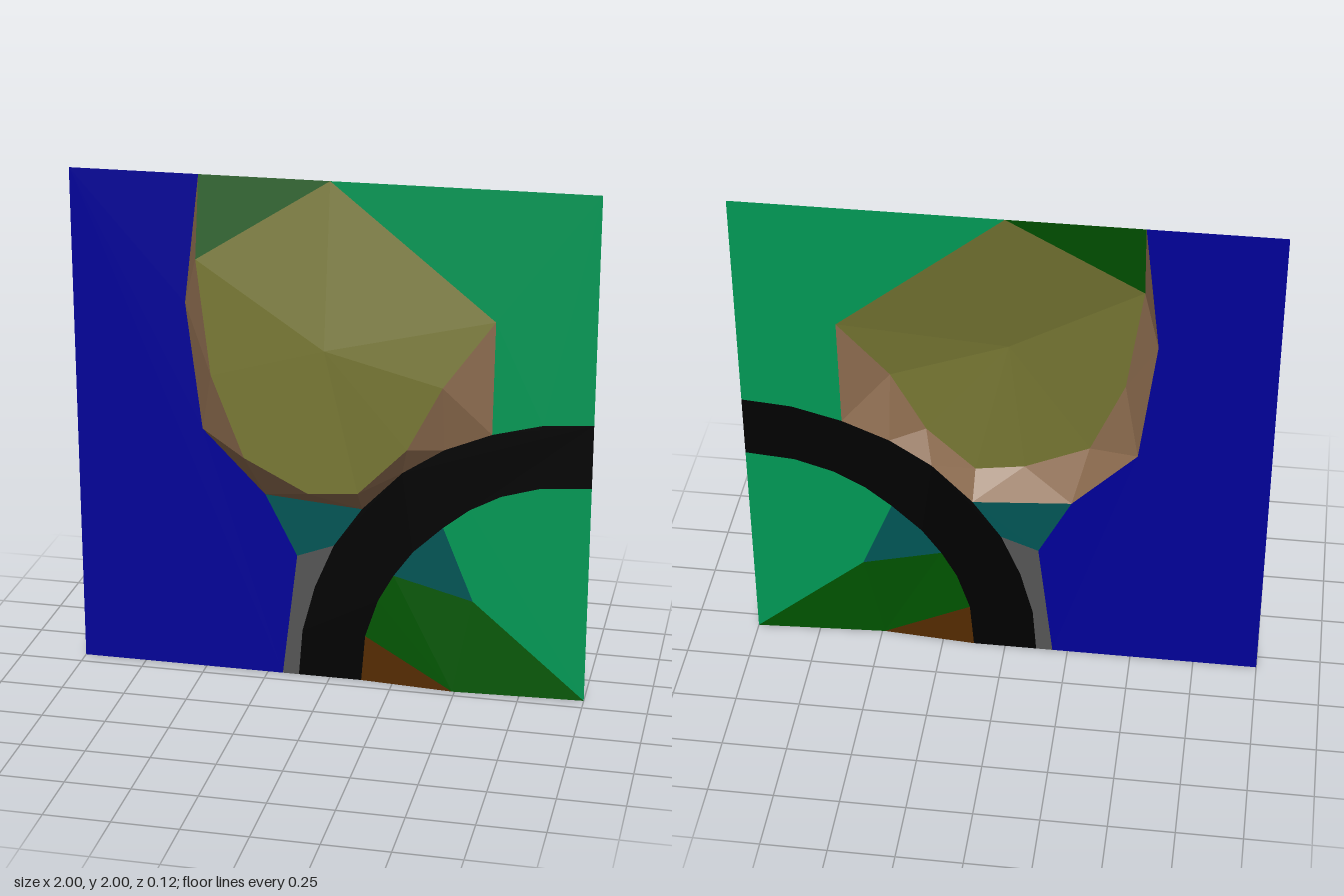
import * as THREE from 'three';

const BASE = -0.0625;

// Corner points are [x, y] on the base plane or [x, y, z] where raised
const roadOuter = [[-0.125, 0], [-0.11, 0.19], [-0.06, 0.38], [0.015, 0.56], [0.125, 0.72],
  [0.28, 0.88], [0.44, 0.985], [0.62, 1.06], [0.81, 1.11], [1, 1.125]];
const roadInner = [[0.125, 0], [0.14, 0.19], [0.19, 0.345], [0.25, 0.455], [0.325, 0.56],
  [0.44, 0.67], [0.54, 0.75], [0.66, 0.815], [0.81, 0.86], [1, 0.875]];
const shore = [[-0.5, 2], [-0.56, 1.5], [-0.5, 1], [-0.255, 0.75], [-0.13, 0.505], [-0.19, 0]];
const peak = [0, 2], shoulder = [0.625, 1.5];
const rim = [[-0.5, 1.69, 0], [-0.44, 1.25, 0.03], [-0.31, 0.935, 0.05], [-0.06, 0.815, 0.0625],
  [0.125, 0.815, 0.025], [0.31, 1, 0.01], [0.44, 1.25, -0.003]];
const summit = [0, 1.38, 0.047];
const knoll = [0.49, 0, -0.035], fork = [0.56, 0.375], corner = [1, 0];

function addMesh(group, name, color, geometry) {
  const material = new THREE.MeshStandardMaterial({ color, flatShading: true, side: THREE.DoubleSide });
  const mesh = new THREE.Mesh(geometry, material);
  mesh.name = name;
  group.add(mesh);
}

// Flat outline lying on the base plane
function flat(outline) {
  const shape = new THREE.Shape(outline.map(([x, y]) => new THREE.Vector2(x, y)));
  return new THREE.ShapeGeometry(shape).translate(0, 0, BASE);
}

// Loose faceted triangles
function facets(triangles) {
  const positions = triangles.flat().flatMap(([x, y, z = BASE]) => [x, y, z]);
  const geometry = new THREE.BufferGeometry();
  geometry.setAttribute('position', new THREE.Float32BufferAttribute(positions, 3));
  geometry.computeVertexNormals();
  return geometry;
}

// Triangles from one centre to each edge of a path
function fan(centre, path) {
  return path.slice(1).map((p, i) => [centre, path[i], p]);
}

export function createModel() {
  const group = new THREE.Group();
  group.name = 'terrainTile';

  // Flat ground
  addMesh(group, 'water', 0x000099, flat([[-1, 0], [-1, 2], ...shore]));
  addMesh(group, 'road', 0x000000, flat([...roadOuter, ...[...roadInner].reverse()]));
  addMesh(group, 'outerMeadow', 0x009955,
    flat([peak, shoulder, ...roadOuter.slice(7), [1, 2]]));
  addMesh(group, 'innerMeadow', 0x009955, flat([corner, ...roadInner.slice(5).reverse(), fork]));
  addMesh(group, 'roadVerge', 0x555555, flat([shore[5], ...roadOuter.slice(0, 4), shore[4]]));
  addMesh(group, 'outerScrub', 0x005555, flat([shore[4], roadOuter[3], roadOuter[4], shore[3]]));
  addMesh(group, 'innerScrub', 0x005555, flat([...roadInner.slice(3, 6), fork]));

  // Hill: sloping faceted top
  addMesh(group, 'hillTop', 0x777733, facets(fan(summit, [peak, ...rim, shoulder, peak])));

  // Hill: cliff strip zigzagging between its foot and the rim
  const foot = [...shore.slice(0, 4), ...roadOuter.slice(4, 8)];
  const cliff = [];
  rim.forEach((r, i) => {
    cliff.push([foot[i], foot[i + 1], r]);
    if (rim[i + 1]) cliff.push([foot[i + 1], rim[i + 1], r]);
  });
  cliff.push([foot[7], shoulder, rim[6]]);
  addMesh(group, 'hillCliff', 0x8c6b4e, facets(cliff));
  addMesh(group, 'hillWoods', 0x005500, facets([[shore[0], rim[0], peak]]));

  // Low knoll beside the road
  addMesh(group, 'knollWoods', 0x005500,
    facets(fan(knoll, [corner, fork, ...roadInner.slice(1, 4).reverse()])));
  addMesh(group, 'knollBank', 0x552b00, facets([[roadInner[0], knoll, roadInner[1]]]));

  return group;
}
